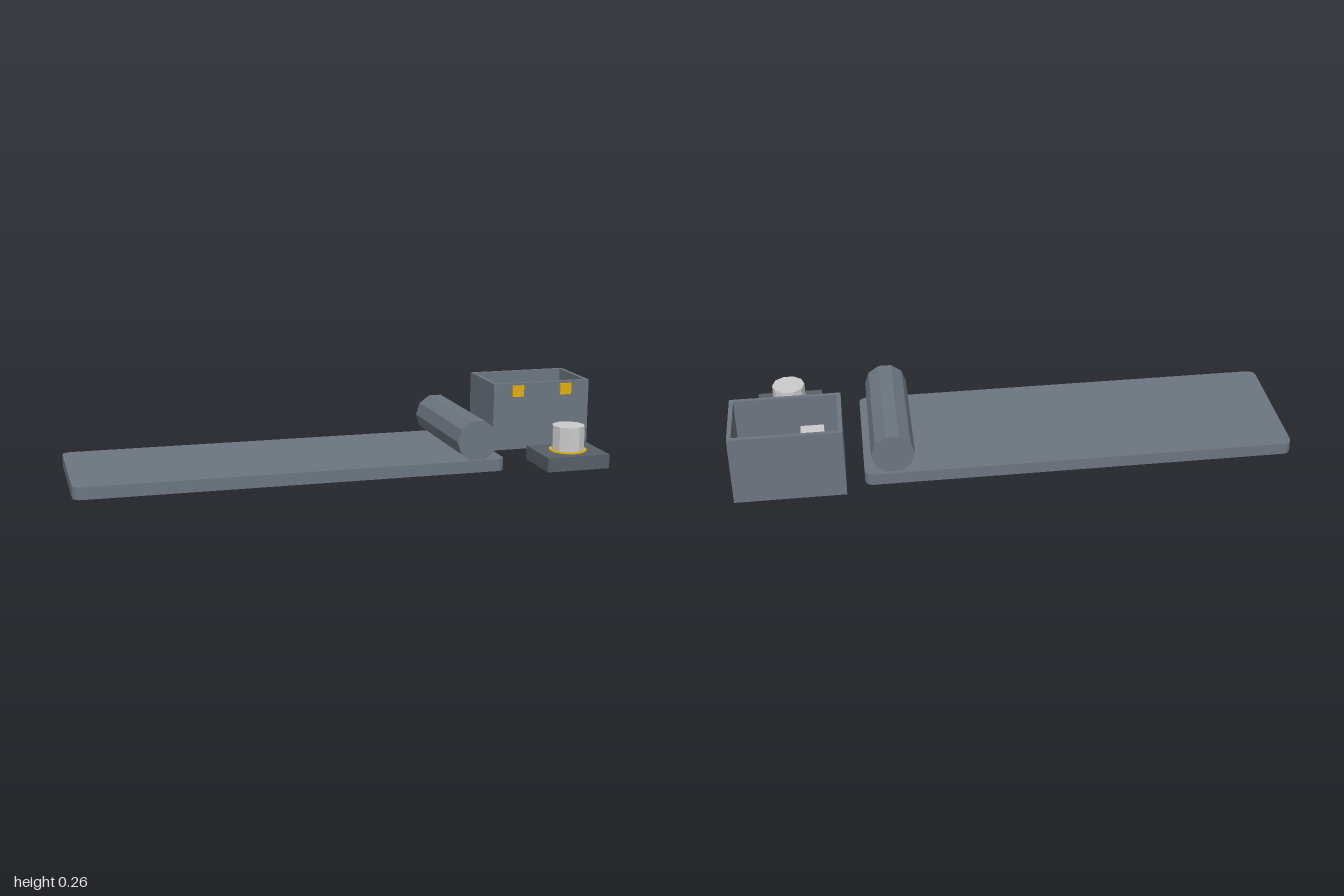
import * as THREE from 'three';

const material = (color) => new THREE.MeshStandardMaterial({ color, flatShading: true });
const slate = material(0x6c7580);
const darkSlate = material(0x585f68);
const grey = material(0xcccccc);
const gold = material(0xe0b010);

export function createModel() {
  const root = new THREE.Group();

  const add = (parent, name, geometry, mat, x, y, z) => {
    const mesh = new THREE.Mesh(geometry, mat);
    mesh.name = name;
    mesh.position.set(x, y, z);
    parent.add(mesh);
    return mesh;
  };
  // Box given by its extents
  const box = (parent, name, mat, x0, x1, y0, y1, z0, z1) =>
    add(parent, name, new THREE.BoxGeometry(x1 - x0, y1 - y0, z1 - z0), mat,
      (x0 + x1) / 2, (y0 + y1) / 2, (z0 + z1) / 2);
  const group = (name) => {
    const g = new THREE.Group();
    g.name = name;
    root.add(g);
    return g;
  };

  // Rounded base slab, drawn in plan and extruded upwards
  const w = 0.7725, d = 0.255, r = 0.03;
  const plan = new THREE.Shape();
  plan.absarc(w - r, d - r, r, 0, Math.PI / 2);
  plan.absarc(-w + r, d - r, r, Math.PI / 2, Math.PI);
  plan.absarc(-w + r, -d + r, r, Math.PI, Math.PI * 1.5);
  plan.absarc(w - r, -d + r, r, Math.PI * 1.5, Math.PI * 2);
  const slab = new THREE.ExtrudeGeometry(plan, { depth: 0.044, bevelEnabled: false, curveSegments: 4 });
  slab.rotateX(-Math.PI / 2);
  add(root, 'slab', slab, slate, -0.2275, 0, -0.011);

  // Ten-sided roller lying across the slab
  const roller = new THREE.CylinderGeometry(0.077, 0.077, 0.486, 10);
  roller.rotateY(Math.PI / 2).rotateX(Math.PI / 2);
  add(root, 'roller', roller, slate, 0.442, 0.114, -0.01);

  // Open-topped case: floor plus a wall frame extruded upwards
  const openCase = group('openCase');
  const x0 = 0.61, x1 = 1, z0 = -0.31, z1 = -0.052, t = 0.015, floor = 0.015, top = 0.259;
  const rect = (Type, a, b, c, e) => {
    const p = new Type();
    p.moveTo(a, c).lineTo(b, c).lineTo(b, e).lineTo(a, e).closePath();
    return p;
  };
  const frame = rect(THREE.Shape, x0, x1, -z1, -z0);
  frame.holes.push(rect(THREE.Path, x0 + t, x1 - t, -z1 + t, -z0 - t));
  const walls = new THREE.ExtrudeGeometry(frame, { depth: top, bevelEnabled: false });
  walls.rotateX(-Math.PI / 2);
  add(openCase, 'caseWalls', walls, slate, 0, 0, 0);
  box(openCase, 'caseFloor', slate, x0 + t, x1 - t, 0, floor, z0 + t, z1 - t);

  // Contents of the case
  box(openCase, 'innerBlock', grey, 0.675, 0.758, floor, 0.172, -0.268, -0.118);
  add(openCase, 'innerPost', new THREE.CylinderGeometry(0.031, 0.031, 0.1, 12), grey,
    0.888, floor + 0.05, -0.185);

  // Contact tabs on the case front
  for (const x of [0.707, 0.902]) {
    box(openCase, 'contactTab', gold, x - 0.023, x + 0.023, 0.207, 0.25, z1 - 0.002, z1 + 0.008);
  }

  // Separate knob unit
  const knobUnit = group('knobUnit');
  box(knobUnit, 'knobBase', darkSlate, 0.684, 0.924, 0, 0.052, 0.105, 0.31);
  add(knobUnit, 'knobCollar', new THREE.CylinderGeometry(0.069, 0.069, 0.007, 20), gold,
    0.804, 0.0535, 0.2075);
  const knob = new THREE.CylinderGeometry(0.06, 0.06, 0.095, 10);
  knob.rotateY(Math.PI / 2);
  add(knobUnit, 'knob', knob, grey, 0.804, 0.0995, 0.2075);

  return root;
}
